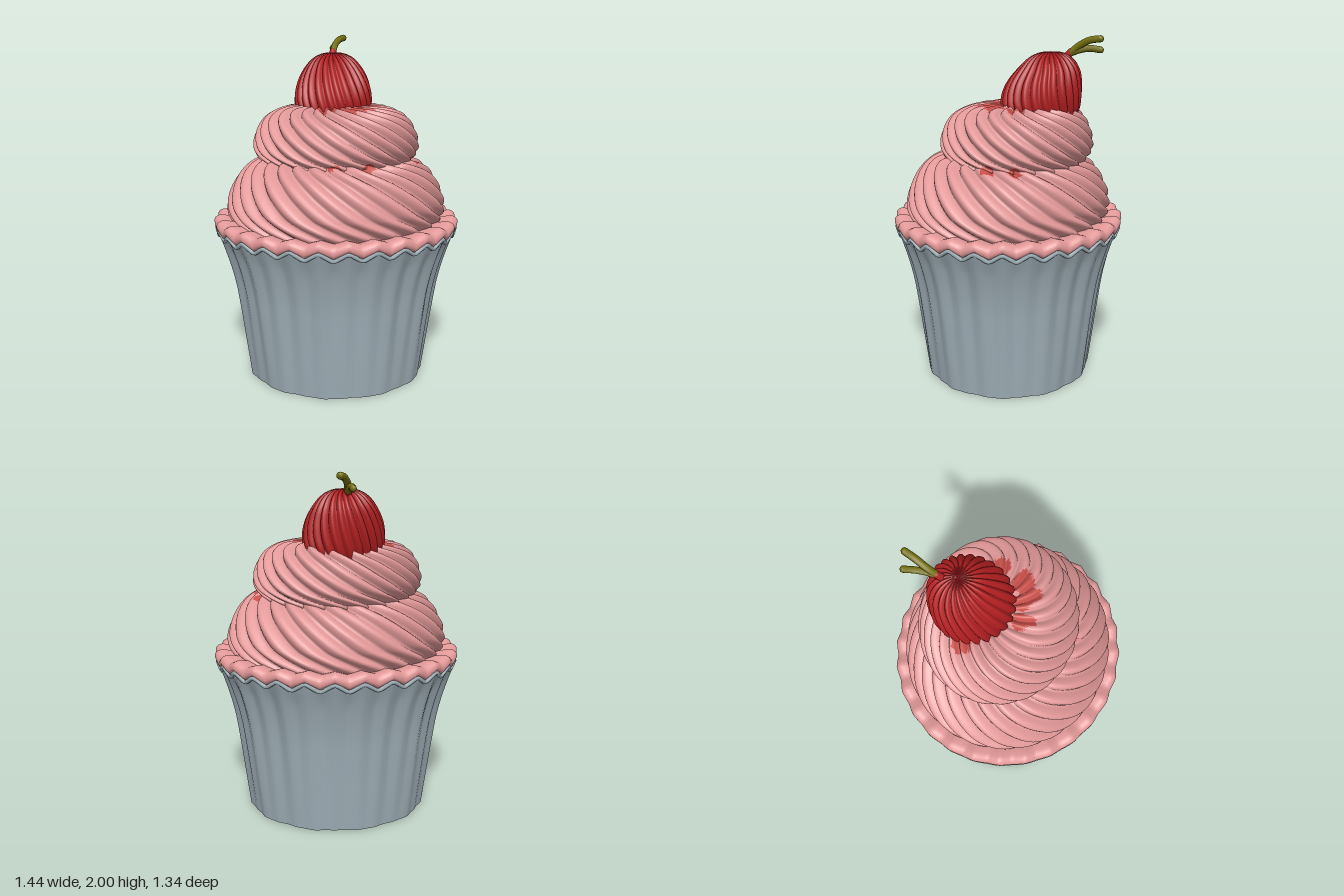
import * as THREE from 'three';

const mat = (name, color, side = THREE.FrontSide) => {
  const m = new THREE.MeshStandardMaterial({ color, side });
  m.name = name;
  return m;
};

// Closed ring surface; rows run upward on the outside. point(v, phi) -> [x, y, z]
// isStained(centroid) sends a triangle to the second material group.
function ringSurface(cols, rows, point, isStained) {
  const pos = [], plain = [], stained = [];
  for (let i = 0; i <= rows; i++)
    for (let j = 0; j < cols; j++) pos.push(...point(i / rows, (j / cols) * Math.PI * 2));
  const vert = (k) => new THREE.Vector3().fromArray(pos, k * 3);
  const tri = (a, b, c) => {
    const mid = vert(a).add(vert(b)).add(vert(c)).divideScalar(3);
    (isStained && isStained(mid) ? stained : plain).push(a, b, c);
  };
  for (let i = 0; i < rows; i++)
    for (let j = 0; j < cols; j++) {
      const a = i * cols + j, b = i * cols + ((j + 1) % cols);
      tri(a, b, b + cols);
      tri(a, b + cols, a + cols);
    }
  const g = new THREE.BufferGeometry();
  g.setAttribute('position', new THREE.Float32BufferAttribute(pos, 3));
  g.setIndex([...plain, ...stained]);
  g.addGroup(0, plain.length, 0);
  if (stained.length) g.addGroup(plain.length, stained.length, 1);
  g.computeVertexNormals();
  return g;
}

// Profile points are [radius, y, centreZ]
const profile = (pts) => new THREE.CatmullRomCurve3(pts.map(([r, y, z = 0]) => new THREE.Vector3(r, y, z)));

// Piped swirl: rounded ridges with sharp grooves, twisting around the axis
function swirl({ pts, ridges, twist, depth, drop, squash, cx = 0, rows = 30, stain }) {
  const curve = profile(pts);
  return ringSurface(ridges * 8, rows, (v, phi) => {
    const p = curve.getPoint(v);
    const groove = 1 - Math.abs(Math.sin((phi * ridges) / 2));
    const th = phi - twist * v;
    const r = Math.max(p.x, 0.001) * (1 - depth * groove);
    const y = p.y - drop * v * groove * Math.min(1, p.x / 0.12);
    return [cx + r * Math.sin(th), y, p.z + r * Math.cos(th) * squash];
  }, stain);
}

export function createModel() {
  const group = new THREE.Group();
  const foil = mat('foil grey', 0xa0b0b8, THREE.DoubleSide);
  const pink = mat('frosting pink', 0xe29898, THREE.DoubleSide);
  const smear = mat('syrup red', 0xc94f4a, THREE.DoubleSide);
  const red = mat('cherry red', 0xb01e20);
  const olive = mat('stem olive', 0x75700f);
  const add = (name, geo, material) => {
    const m = new THREE.Mesh(geo, material);
    m.name = name;
    group.add(m);
    return m;
  };

  const TEETH = 28, SQUASH = 0.93;
  const zig = (t) => {
    const f = (((t * TEETH) / (Math.PI * 2)) % 1 + 1) % 1;
    return 1 - 4 * Math.abs(f - 0.5); // triangle wave, -1..1
  };

  // Pleated paper cup
  const cup = profile([[0.525, 0], [0.55, 0.2], [0.575, 0.4], [0.605, 0.6], [0.65, 0.77], [0.698, 0.89]]);
  const pleat = (v, t) => (0.003 + 0.011 * v) * zig(t) + 0.006 * Math.cos(11 * t + 1 + v);
  add('paperCup', ringSurface(TEETH * 8, 20, (v, t) => {
    const p = cup.getPoint(v), r = p.x + pleat(v, t);
    return [r * Math.sin(t), p.y + 0.02 * zig(t) * Math.max(0, v * 5 - 4), r * Math.cos(t) * SQUASH];
  }), foil);
  add('cupBase', ringSurface(TEETH * 8, 1, (v, t) => {
    const r = v * (0.525 + pleat(0, t));
    return [r * Math.sin(t), 0, r * Math.cos(t) * SQUASH];
  }), foil);

  // Zigzag foil lip under the frosting edge
  const lip = [];
  for (let i = 0; i < TEETH * 4; i++) {
    const t = (i / (TEETH * 4)) * Math.PI * 2, r = 0.702 + 0.006 * zig(t);
    lip.push(new THREE.Vector3(r * Math.sin(t), 0.888 + 0.02 * zig(t), r * Math.cos(t) * SQUASH));
  }
  add('cupLip', new THREE.TubeGeometry(new THREE.CatmullRomCurve3(lip, true), TEETH * 10, 0.012, 6, true), foil);

  // Crimped frosting edge
  const edge = profile([[0.69, 0.893], [0.715, 0.91], [0.714, 0.94], [0.69, 0.96], [0.65, 0.96], [0.56, 0.94]]);
  add('frostingEdge', ringSurface(TEETH * 8, 14, (v, t) => {
    const p = edge.getPoint(v), r = p.x + 0.008 * zig(t) * (1 - v);
    return [r * Math.sin(t), p.y + 0.021 * zig(t) * (1 - 0.6 * v), r * Math.cos(t) * SQUASH];
  }), pink);

  // Syrup stains as [x, y, z, radius]
  const stains = [
    [-0.08, 1.59, 0.08, 0.05], [-0.07, 1.58, 0.13, 0.035], [0.03, 1.59, 0.07, 0.05], [0.08, 1.58, 0.13, 0.045],
    [0.14, 1.59, 0.06, 0.06], [0.19, 1.58, 0.06, 0.035], [0.22, 1.58, -0.07, 0.055], [-0.25, 1.58, -0.2, 0.055],
    [0, 1.295, 0.365, 0.035], [0.19, 1.295, 0.33, 0.035], [0.45, 1.29, 0.05, 0.04], [0.45, 1.29, -0.1, 0.035],
  ];
  const stain = (c) => stains.some(([x, y, z, r]) => Math.hypot(c.x - x, c.y - y, c.z - z) < r);

  // Two swirled tiers of frosting
  add('lowerFrosting', swirl({
    pts: [[0.6, 0.92], [0.64, 0.99], [0.642, 1.06], [0.605, 1.16], [0.54, 1.25], [0.45, 1.305], [0.3, 1.33, -0.03]],
    ridges: 24, twist: 1.35, depth: 0.07, drop: 0.03, squash: SQUASH, stain,
  }), [pink, smear]);
  add('upperFrosting', swirl({
    pts: [[0.38, 1.24, -0.05], [0.455, 1.3, -0.05], [0.488, 1.36, -0.05], [0.475, 1.45, -0.05], [0.42, 1.54, -0.055],
      [0.32, 1.592, -0.07], [0.17, 1.605, -0.1], [0, 1.6, -0.12]],
    ridges: 22, twist: 2.2, depth: 0.08, drop: 0.035, squash: 0.91, rows: 44, stain,
  }), [pink, smear]);

  // Leaning ribbed cherry
  add('cherry', swirl({
    pts: [[0.2, 1.5, -0.18], [0.228, 1.58, -0.182], [0.232, 1.65, -0.188], [0.215, 1.73, -0.205],
      [0.175, 1.81, -0.23], [0.12, 1.87, -0.24], [0.06, 1.897, -0.245], [0, 1.9, -0.25]],
    ridges: 24, twist: 0.7, depth: 0.1, drop: 0.015, squash: 1, cx: -0.02, rows: 28,
  }), red);

  // Forked stem on a red stub; each path ends with a cap
  const stalk = (name, pts, radius, material) => {
    const v = pts.map((p) => new THREE.Vector3(...p));
    add(name, new THREE.TubeGeometry(new THREE.CatmullRomCurve3(v), 16, radius, 8), material);
    const cap = add(name + 'Tip', new THREE.SphereGeometry(radius, 8, 6), material);
    cap.position.copy(v[v.length - 1]);
  };
  stalk('stemStub', [[-0.02, 1.82, -0.28], [-0.025, 1.87, -0.325], [-0.025, 1.9, -0.355]], 0.021, red);
  stalk('upperStem', [[-0.025, 1.89, -0.345], [-0.015, 1.935, -0.4], [0.01, 1.967, -0.46], [0.037, 1.977, -0.52]], 0.02, olive);
  stalk('lowerStem', [[-0.025, 1.89, -0.345], [-0.025, 1.91, -0.4], [-0.028, 1.92, -0.46], [-0.03, 1.912, -0.52]], 0.019, olive);

  return group;
}
